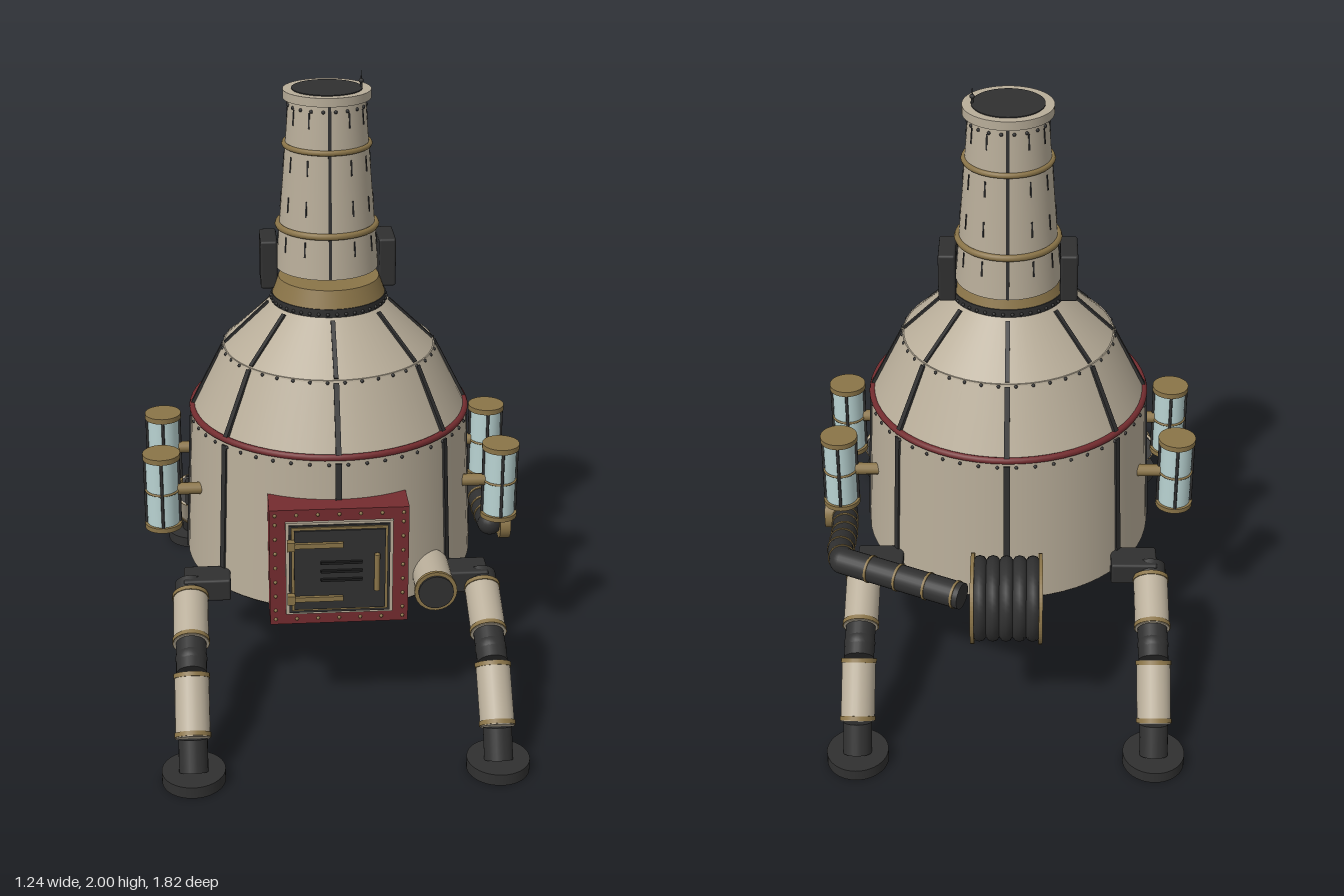
import * as THREE from 'three';
import { RoundedBoxGeometry } from 'three/addons/geometries/RoundedBoxGeometry.js';

const mat = (name, color) => Object.assign(new THREE.MeshStandardMaterial({ color }), { name });

export function createModel() {
  const cream = mat('cream plating', 0xb8ad99), dark = mat('dark rubber', 0x303030), brass = mat('brass', 0x8a7448);
  const red = mat('red paint', 0x742c2f), glass = mat('pale glass', 0xb9d3d2), black = mat('black underside', 0x1c1c1c);
  const model = new THREE.Group();
  const root = new THREE.Group();
  root.name = 'stove';
  root.position.x = -0.0075;
  model.add(root);

  const V = (x, y, z) => new THREE.Vector3(x, y, z);
  const Y = V(0, 1, 0);
  const add = (name, geo, m, x = 0, y = 0, z = 0, parent = root) => {
    const mesh = new THREE.Mesh(geo, m);
    mesh.name = name;
    mesh.position.set(x, y, z);
    parent.add(mesh);
    return mesh;
  };
  const group = (name, x = 0, y = 0, z = 0, parent = root) => {
    const g = new THREE.Group();
    g.name = name;
    g.position.set(x, y, z);
    parent.add(g);
    return g;
  };
  const box = (name, w, h, d, m, x, y, z, parent) => add(name, new THREE.BoxGeometry(w, h, d), m, x, y, z, parent);
  // Upright cylinder or cone between two heights
  const drum = (name, r0, r1, y0, y1, m, parent = root, open = false, seg = 64) =>
    add(name, new THREE.CylinderGeometry(r1, r0, y1 - y0, seg, 1, open), m, 0, (y0 + y1) / 2, 0, parent);
  // Rod between two points
  const rod = (name, a, b, r, m, parent = root, seg = 24) => {
    const mesh = add(name, new THREE.CylinderGeometry(r, r, a.distanceTo(b), seg), m, 0, 0, 0, parent);
    mesh.position.copy(a).lerp(b, 0.5);
    mesh.quaternion.setFromUnitVectors(Y, b.clone().sub(a).normalize());
    return mesh;
  };
  // Short collar around the line a-b at fraction t
  const collar = (a, b, t, r, m, parent, len = 0.014) => {
    const c = a.clone().lerp(b, t), d = b.clone().sub(a).normalize().multiplyScalar(len / 2);
    return rod('brassCollar', c.clone().sub(d), c.clone().add(d), r, m, parent);
  };
  const ring = (name, r, tube, y, m, parent = root) => {
    const t = add(name, new THREE.TorusGeometry(r, tube, 8, 64), m, 0, y, 0, parent);
    t.rotation.x = Math.PI / 2;
    return t;
  };
  const rivetGeo = new THREE.SphereGeometry(0.006, 6, 4);
  const rivets = (n, r, y, m, parent = root) => {
    for (let i = 0; i < n; i++) {
      const a = (i + 0.5) / n * Math.PI * 2;
      add('rivet', rivetGeo, m, Math.sin(a) * r, y, Math.cos(a) * r, parent);
    }
  };
  // Strip lying on a cone wall at the given angle in degrees
  const seam = (deg, r0, y0, r1, y1, w, parent = root) => {
    const g = group('seam', 0, 0, 0, parent);
    g.rotation.y = deg * Math.PI / 180;
    const s = box('seamStrip', w, Math.hypot(r1 - r0, y1 - y0), 0.012, dark, 0, (y0 + y1) / 2, (r0 + r1) / 2, g);
    s.rotation.x = Math.atan2(r1 - r0, y1 - y0);
  };

  // Boiler body
  drum('bodyWall', 0.478, 0.454, 0.39, 0.9, cream);
  drum('bodyFloor', 0.472, 0.472, 0.384, 0.392, black);
  drum('lowerDome', 0.452, 0.345, 0.9, 1.12, cream);
  drum('domeLip', 0.348, 0.345, 1.112, 1.122, cream);
  drum('upperDome', 0.343, 0.18, 1.12, 1.275, cream);
  ring('redBand', 0.45, 0.011, 0.908, red);
  for (const a of [0, 50, 90, 130, 180, 230, 270, 310]) {
    seam(a, 0.478, 0.39, 0.454, 0.89, 0.02);
    seam(a, 0.449, 0.915, 0.347, 1.115, 0.017);
    seam(a, 0.338, 1.125, 0.195, 1.262, 0.014);
  }
  rivets(48, 0.455, 0.885, dark);
  rivets(40, 0.347, 1.115, dark);
  drum('neckRing', 0.185, 0.185, 1.27, 1.297, dark);
  rivets(40, 0.186, 1.28, dark);
  drum('brassNeck', 0.182, 0.162, 1.297, 1.352, brass);

  // Chimney, set back from the body axis
  const chimney = group('chimney', 0, 0, -0.073);
  drum('chimneyPipe', 0.166, 0.122, 1.362, 1.915, cream, chimney);
  drum('chimneyRim', 0.14, 0.14, 1.915, 1.943, cream, chimney);
  drum('chimneyMouth', 0.112, 0.112, 1.94, 1.946, dark, chimney);
  ring('lowerHoop', 0.158, 0.011, 1.503, brass, chimney);
  ring('upperHoop', 0.136, 0.009, 1.768, brass, chimney);
  seam(0, 0.162, 1.364, 0.118, 1.912, 0.01, chimney);
  seam(180, 0.162, 1.364, 0.118, 1.912, 0.01, chimney);
  const pipeR = y => 0.162 - (y - 1.362) * 0.08;
  for (const a of [30, 60, 90, 120, 150, 210, 240, 270, 300, 330])
    for (const y of [1.43, 1.56, 1.69, 1.84]) seam(a, pipeR(y), y, pipeR(y + 0.05), y + 0.05, 0.005, chimney);
  rivets(20, 0.124, 1.895, dark, chimney);
  for (const s of [-1, 1])
    add('sideVentBox', new RoundedBoxGeometry(0.055, 0.16, 0.145, 2, 0.008), dark, s * 0.191, 1.385, 0, chimney);
  add('antenna', new THREE.ConeGeometry(0.005, 0.06, 8), dark, 0.108, 1.97, 0, chimney);
  add('antennaBead', new THREE.SphereGeometry(0.008, 8, 6), dark, 0.108, 1.965, 0, chimney);

  // Furnace door
  const door = group('furnaceDoor', -0.003, 0.57, 0);
  box('redFrame', 0.435, 0.4, 0.17, red, 0, 0, 0.44, door);
  box('creamSurround', 0.335, 0.32, 0.02, cream, 0, 0, 0.525, door);
  box('darkSurround', 0.315, 0.305, 0.02, dark, 0, 0, 0.53, door);
  box('doorBrassEdge', 0.3, 0.29, 0.02, brass, 0, 0.002, 0.535, door);
  box('doorPanel', 0.284, 0.274, 0.025, dark, 0, 0.002, 0.539, door);
  for (const y of [0.092, -0.095]) {
    box('hingeStrap', 0.17, 0.016, 0.012, brass, -0.075, y, 0.556, door);
    box('hingeKnuckle', 0.024, 0.03, 0.022, brass, -0.152, y, 0.555, door);
  }
  for (const y of [-0.03, 0, 0.03]) box('doorLouver', 0.13, 0.008, 0.012, black, 0.005, y, 0.555, door);
  rod('doorHandle', V(0.115, -0.065, 0.565), V(0.115, 0.06, 0.565), 0.009, brass, door, 12);
  for (const y of [-0.05, 0.045]) box('handlePost', 0.012, 0.012, 0.025, brass, 0.115, y, 0.555, door);
  for (let i = 0; i < 7; i++) for (const s of [-1, 1]) {
    add('frameRivet', rivetGeo, brass, -0.2 + i * 0.0667, s * 0.182, 0.525, door);
    add('frameRivet', rivetGeo, brass, s * 0.2, -0.15 + i * 0.05, 0.525, door);
  }

  // Front port
  const p0 = V(0.305, 0.46, 0.34), p1 = V(0.305, 0.46, 0.51);
  rod('frontPort', p0, p1, 0.062, cream, root, 32);
  collar(p0, p1, 0.97, 0.068, brass, root, 0.012);
  collar(p0, p1, 1.01, 0.056, dark, root, 0.014).name = 'portCover';

  // Lanterns
  for (const sx of [-1, 1]) for (const z of [-0.163, 0.163]) {
    const l = group('lantern', sx * 0.555, 0, z);
    drum('lanternGlass', 0.052, 0.052, 0.56, 0.8, glass, l, false, 32);
    drum('lanternBase', 0.061, 0.061, 0.548, 0.564, brass, l, false, 32);
    drum('lanternCap', 0.061, 0.061, 0.792, 0.81, brass, l, false, 32);
    ring('lanternHoop', 0.053, 0.004, 0.68, brass, l);
    for (let i = 0; i < 4; i++) {
      const a = i * Math.PI / 2;
      const x = Math.sin(a) * 0.055, bz = Math.cos(a) * 0.055;
      rod('lanternBar', V(x, 0.56, bz), V(x, 0.8, bz), 0.005, dark, l, 8);
    }
    rod('lanternBracket', V(-sx * 0.05, 0.68, 0), V(-sx * 0.14, 0.68, 0), 0.02, brass, l, 12);
  }

  // Four jointed legs
  for (const sx of [-1, 1]) for (const sz of [-1, 1]) {
    const leg = group(sz > 0 ? 'frontLeg' : 'backLeg', sx * 0.471, 0, 0);
    const P = (y, z) => V(0, y, z * sz);
    const hip = P(0.425, 0.345), a = P(0.405, 0.385), b = P(0.325, 0.55), c = P(0.275, 0.645), d = P(0.125, 0.775), foot = P(0.035, 0.82);
    add('hipBlock', new RoundedBoxGeometry(0.15, 0.075, 0.105, 2, 0.008), dark, -sx * 0.055, 0.425, sz * 0.345, leg);
    rod('hipJoint', hip, a, 0.05, dark, leg);
    rod('upperLeg', a, b, 0.056, cream, leg);
    rod('kneeUpper', b, P(0.3, 0.6), 0.048, dark, leg);
    add('kneeBall', new THREE.SphereGeometry(0.05, 20, 14), dark, 0, 0.3, 0.6 * sz, leg);
    rod('kneeLower', P(0.3, 0.6), c, 0.048, dark, leg);
    rod('lowerLeg', c, d, 0.054, cream, leg);
    rod('ankle', d, foot, 0.045, dark, leg);
    for (const t of [0.04, 0.95]) {
      collar(a, b, t, 0.059, brass, leg);
      collar(c, d, t, 0.057, brass, leg);
    }
    add('footPad', new THREE.CylinderGeometry(0.098, 0.098, 0.038, 40), dark, 0, 0.019, sz * 0.81, leg);
  }

  // Hose reel at the back
  const reel = group('hoseReel', 0, 0.482, -0.595);
  for (let i = 0; i < 5; i++) {
    const t = add('hoseCoil', new THREE.TorusGeometry(0.112, 0.024, 10, 40), dark, -0.084 + i * 0.042, 0, 0, reel);
    t.rotation.y = Math.PI / 2;
  }
  rod('reelCore', V(-0.1, 0, 0), V(0.1, 0, 0), 0.113, dark, reel, 40);
  rod('reelMount', V(0, 0, 0), V(0, 0, 0.17), 0.06, dark, reel);
  const flange = (holes) => {
    const s = new THREE.Shape().absarc(0, 0, 0.143, 0, Math.PI * 2);
    if (holes === 1) s.holes.push(new THREE.Path().absarc(0, 0, 0.108, 0, Math.PI * 2, true));
    else for (let i = 0; i < holes; i++) {
      const a0 = i * Math.PI * 2 / holes + 0.3, a1 = a0 + Math.PI * 2 / holes - 0.6;
      s.holes.push(new THREE.Path().absarc(0, 0, 0.1, a0, a1).absarc(0, 0, 0.05, a1, a0, true));
    }
    return new THREE.ExtrudeGeometry(s, { depth: 0.012, bevelEnabled: false, curveSegments: 32 });
  };
  add('leftFlange', flange(1), brass, 0.1, 0, 0, reel).rotation.y = Math.PI / 2;
  add('rightFlange', flange(4), brass, -0.114, 0, 0, reel).rotation.y = Math.PI / 2;

  // Loose hose running forward to its nozzle
  const hose = group('hose');
  const path = [V(0.14, 0.485, -0.59), V(0.535, 0.485, -0.41), V(0.55, 0.465, -0.33), V(0.55, 0.435, -0.2), V(0.562, 0.415, -0.04)];
  const bands = [[0.05, 0.28, 0.52, 0.76], [0.3], [0.1, 0.6], [0.05, 0.4, 0.7]];
  for (let i = 0; i < 4; i++) {
    rod('hoseSection', path[i], path[i + 1], 0.043, dark, hose);
    if (i) add('hoseElbow', new THREE.SphereGeometry(0.043, 20, 14), dark, path[i].x, path[i].y, path[i].z, hose);
    for (const t of bands[i]) collar(path[i], path[i + 1], t, 0.046, brass, hose, 0.008);
  }
  add('hoseEnd', new THREE.SphereGeometry(0.043, 20, 14), dark, 0.562, 0.415, -0.04, hose);
  rod('nozzle', V(0.592, 0.415, -0.04), V(0.628, 0.415, -0.04), 0.055, brass, hose, 32);
  return model;
}
